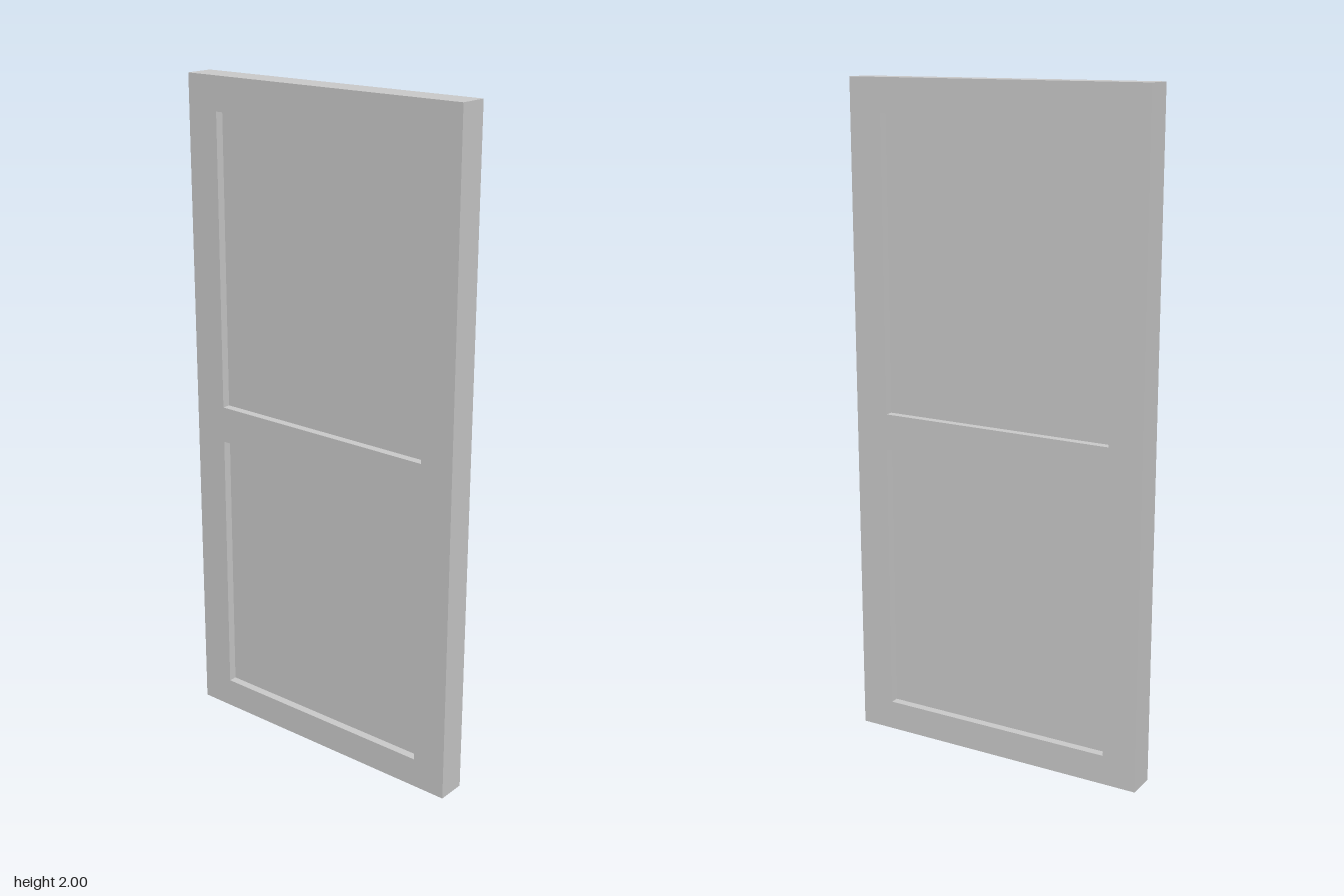
import * as THREE from 'three';

const HEIGHT = 2, WIDTH = 0.944, THICKNESS = 0.088;
const PANEL_WIDTH = 0.735, PANEL_THICKNESS = 0.038;
const PANELS = [
  { name: 'lowerPanel', bottom: 0.09, top: 0.91 },
  { name: 'upperPanel', bottom: 1.02, top: 1.9 },
];

// Rectangle centred on the door's width, between two heights
function rectangle(Type, width, bottom, top) {
  const w = width / 2;
  return new Type([
    new THREE.Vector2(-w, bottom),
    new THREE.Vector2(w, bottom),
    new THREE.Vector2(w, top),
    new THREE.Vector2(-w, top),
  ]);
}

export function createModel() {
  const door = new THREE.Group();
  door.name = 'door';
  const material = new THREE.MeshStandardMaterial({ color: 0xcccccc });

  // Frame: stiles and rails in one piece, with an opening for each panel
  const outline = rectangle(THREE.Shape, WIDTH, 0, HEIGHT);
  for (const { bottom, top } of PANELS) {
    outline.holes.push(rectangle(THREE.Path, PANEL_WIDTH, bottom, top));
  }
  const frameGeometry = new THREE.ExtrudeGeometry(outline, { depth: THICKNESS, bevelEnabled: false });
  frameGeometry.translate(0, 0, -THICKNESS / 2).rotateY(Math.PI / 2);
  const frame = new THREE.Mesh(frameGeometry, material);
  frame.name = 'doorFrame';
  door.add(frame);

  // Panels: thinner than the frame, so recessed on both faces
  for (const { name, bottom, top } of PANELS) {
    const panel = new THREE.Mesh(
      new THREE.BoxGeometry(PANEL_THICKNESS, top - bottom, PANEL_WIDTH), material);
    panel.position.y = (bottom + top) / 2;
    panel.name = name;
    door.add(panel);
  }

  return door;
}
